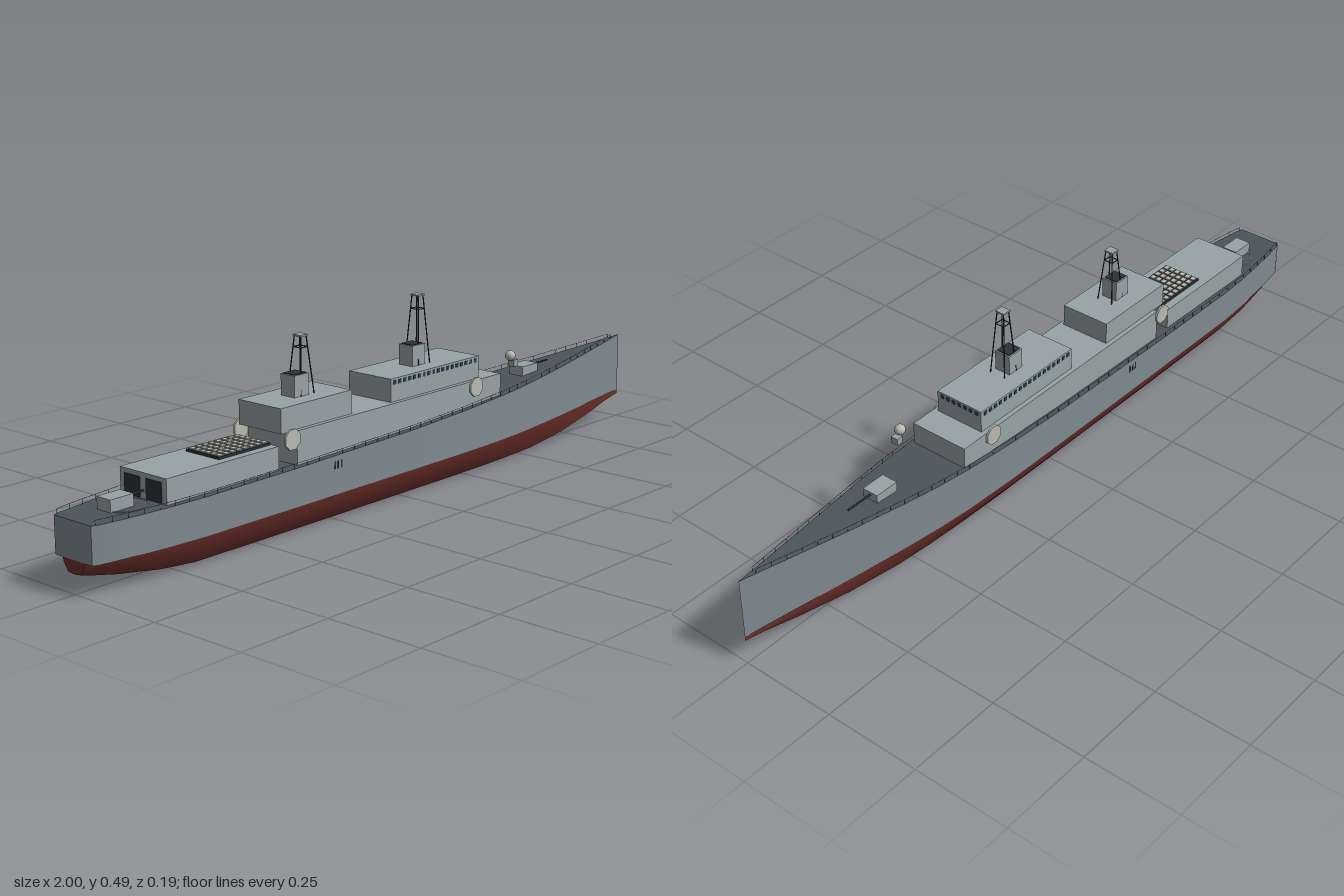
import * as THREE from 'three';
import { toCreasedNormals } from 'three/addons/utils/BufferGeometryUtils.js';

const mat = (color) => new THREE.MeshStandardMaterial({ color });
const GREY = mat(0x7f8b90), HOUSE = mat(0x98a4a6), DECK = mat(0x4b555a), RED = mat(0x6e302c);
const DARK = mat(0x2b3338), GLASS = mat(0x27435a), PALE = mat(0xb9bab2);

// Hull stations: x, half width, deck height, keel height, width factor below the waterline
const STATIONS = [
  [-1, 0.06, 0.165, 0.045, 0.6], [-0.985, 0.066, 0.165, 0.042, 0.75], [-0.92, 0.076, 0.165, 0.03, 0.97],
  [-0.8, 0.089, 0.166, 0.01, 1], [-0.7, 0.095, 0.167, 0.001, 1], [-0.4, 0.096, 0.17, 0, 1],
  [0, 0.096, 0.178, 0, 1], [0.2, 0.095, 0.187, 0, 1], [0.35, 0.09, 0.195, 0, 1],
  [0.45, 0.082, 0.2, 0, 1], [0.55, 0.07, 0.206, 0.001, 1], [0.7, 0.048, 0.215, 0.013, 1],
  [0.85, 0.024, 0.226, 0.036, 0.9], [0.95, 0.008, 0.234, 0.056, 0.4], [1, 0.0005, 0.238, 0.066, 0.2],
];
const WATER = 0.077;

function stationAt(x) {
  let i = 0;
  while (i < STATIONS.length - 2 && STATIONS[i + 1][0] < x) i++;
  const a = STATIONS[i], b = STATIONS[i + 1], t = (x - a[0]) / (b[0] - a[0]);
  return a.map((v, k) => v + (b[k] - v) * t);
}

// Skin stretched over rows of points
function loft(rows) {
  const n = rows[0].length, index = [];
  for (let i = 0; i < rows.length - 1; i++)
    for (let j = 0; j < n - 1; j++) {
      const a = i * n + j, b = a + n;
      index.push(a, a + 1, b, b, a + 1, b + 1);
    }
  const g = new THREE.BufferGeometry();
  g.setAttribute('position', new THREE.Float32BufferAttribute(rows.flat(2), 3));
  g.setIndex(index);
  return toCreasedNormals(g, 0.5);
}

function add(parent, name, geometry, material, x = 0, y = 0, z = 0) {
  const m = new THREE.Mesh(geometry, material);
  m.name = name;
  m.position.set(x, y, z);
  parent.add(m);
  return m;
}

// Box given by its limits in x and y and its range in z
function block(parent, name, material, x0, x1, y0, y1, z0, z1 = -z0) {
  const g = new THREE.BoxGeometry(x1 - x0, y1 - y0, Math.abs(z1 - z0));
  return add(parent, name, g, material, (x0 + x1) / 2, (y0 + y1) / 2, (z0 + z1) / 2);
}

function rod(parent, name, a, b, r, material, sides = 6) {
  const p = new THREE.Vector3(...a), d = new THREE.Vector3(...b).sub(p);
  const m = add(parent, name, new THREE.CylinderGeometry(r, r, d.length(), sides), material);
  m.position.copy(p).addScaledVector(d, 0.5);
  m.quaternion.setFromUnitVectors(new THREE.Vector3(0, 1, 0), d.normalize());
  return m;
}

function buildHull(root) {
  const hull = new THREE.Group();
  hull.name = 'hull';
  root.add(hull);
  const profile = [[1, 1], [0.91, 0.65], [0.56, 0.09], [0, 0]];
  const below = ([x, w, , k, f], s) =>
    profile.map(([u, v]) => [x, k + v * (WATER - k), s * u * w * f]);

  add(hull, 'portSide', loft(STATIONS.map(([x, w, d]) => [[x, d, w], [x, WATER, w]])), GREY);
  add(hull, 'starboardSide', loft(STATIONS.map(([x, w, d]) => [[x, WATER, -w], [x, d, -w]])), GREY);
  add(hull, 'bottom', loft(STATIONS.map((s) => [...below(s, 1), ...below(s, -1).reverse().slice(1)])), RED);
  add(hull, 'deck', loft(STATIONS.map(([x, w, d]) => [[x, d, -w], [x, d, w]])), DECK);
  add(hull, 'waterlinePlate', loft(STATIONS.map(([x, w]) => [[x, WATER, w], [x, WATER, -w]])), DARK);

  // Flat stern
  const [x, w, d] = STATIONS[0];
  add(hull, 'transom', loft([-w, w].map((z) => [[x, d, z], [x, WATER, z]])), GREY);
  add(hull, 'lowerTransom', loft([below(STATIONS[0], -1), below(STATIONS[0], 1)]), RED);

  // Vents on both sides
  for (const s of [-1, 1])
    for (let i = 0; i < 3; i++)
      block(hull, 'sideVent', DARK, -0.292 + i * 0.011, -0.288 + i * 0.011, 0.14, 0.158, s * 0.094, s * 0.0968);
}

function buildRails(root) {
  const rails = new THREE.Group();
  rails.name = 'railings';
  root.add(rails);
  for (const s of [-1, 1]) {
    const at = (x, h) => {
      const [, w, d] = stationAt(x);
      return [x, d + h, s * Math.max(w - 0.002, 0)];
    };
    for (let i = 0; i < 49; i++) {
      const x = -0.99 + i * 0.0405;
      rod(rails, 'railPost', at(x, 0), at(x, 0.011), 0.0006, DARK, 4);
      if (i < 48) rod(rails, 'railWire', at(x, 0.011), at(x + 0.0405, 0.011), 0.0005, DARK, 4);
    }
  }
}

// Mast of four leaning legs behind a funnel
function buildMast(root, x, top) {
  const mast = new THREE.Group();
  mast.name = 'mast';
  root.add(mast);
  block(mast, 'funnel', HOUSE, x - 0.044, x + 0.004, 0.308, 0.362, 0.022);
  block(mast, 'funnelCap', DARK, x - 0.04, x, 0.361, 0.364, 0.018);
  const leg = (sx, sz, t) =>
    [x + sx * (0.022 - 0.013 * t), 0.31 + (top - 0.31) * t, sz * (0.022 - 0.012 * t)];
  for (const sx of [-1, 1])
    for (const sz of [-1, 1]) rod(mast, 'mastLeg', leg(sx, sz, 0), leg(sx, sz, 1), 0.0016, DARK);
  for (const s of [-1, 1]) {
    rod(mast, 'mastBrace', leg(s, -1, 0.8), leg(s, 1, 0.8), 0.0013, DARK);
    rod(mast, 'mastBrace', leg(-1, s, 0.8), leg(1, s, 0.8), 0.0013, DARK);
  }
  block(mast, 'mastPlatform', HOUSE, x - 0.012, x + 0.012, top - 0.002, top + 0.002, 0.013);
}

function buildGun(root, x, y, height) {
  const gun = new THREE.Group();
  gun.name = 'gun';
  root.add(gun);
  block(gun, 'turret', HOUSE, x - 0.033, x + 0.033, y, y + height, 0.022);
  rod(gun, 'barrel', [x + 0.03, y + height * 0.72, 0], [x + 0.105, y + height * 0.72, 0], 0.0025, DARK, 8);
}

export function createModel() {
  const root = new THREE.Group();
  root.name = 'warship';
  buildHull(root);
  buildRails(root);

  // Deckhouses
  block(root, 'hangar', HOUSE, -0.8, -0.455, 0.16, 0.226, 0.075);
  block(root, 'mainDeckhouse', HOUSE, -0.4, 0.355, 0.165, 0.252, 0.08);
  block(root, 'aftUpperHouse', HOUSE, -0.44, -0.2, 0.25, 0.31, 0.068);
  block(root, 'bridge', HOUSE, -0.06, 0.28, 0.25, 0.31, 0.068);
  for (const s of [-1, 1]) block(root, 'hangarDoor', DARK, -0.802, -0.798, 0.168, 0.215, s * 0.01, s * 0.06);

  // Bridge windows
  for (let i = 0; i < 7; i++) {
    const z = (i - 3) * 0.0178;
    block(root, 'frontWindow', GLASS, 0.279, 0.2815, 0.295, 0.305, z - 0.0048, z + 0.0048);
  }
  for (const s of [-1, 1])
    for (let i = 0; i < 18; i++) {
      const x = -0.045 + i * 0.0182;
      block(root, 'sideWindow', GLASS, x - 0.0048, x + 0.0048, 0.295, 0.305, s * 0.067, s * 0.0695);
    }

  // Eight-sided sensor panels
  for (const x of [0.253, -0.418])
    for (const s of [-1, 1]) {
      const g = new THREE.CylinderGeometry(0.026, 0.026, 0.005, 8).rotateY(Math.PI / 8).rotateX(Math.PI / 2);
      add(root, 'sensorPanel', g, PALE, x, 0.236, s * 0.0825);
    }

  // Launch hatches on the hangar roof
  block(root, 'hatchFrame', DARK, -0.622, -0.46, 0.224, 0.232, 0.053);
  for (let i = 0; i < 8; i++)
    for (let j = 0; j < 6; j++) {
      const x = -0.611 + i * 0.02, z = (j - 2.5) * 0.0172;
      block(root, 'launchHatch', PALE, x - 0.0075, x + 0.0075, 0.231, 0.2345, z - 0.0065, z + 0.0065);
    }

  buildMast(root, -0.303, 0.45);
  buildMast(root, 0.118, 0.483);
  buildGun(root, 0.558, 0.203, 0.027);
  buildGun(root, -0.88, 0.164, 0.03);

  // Painted ring on the aft deck
  add(root, 'deckRing', new THREE.TorusGeometry(0.054, 0.001, 6, 40).rotateX(Math.PI / 2), PALE, -0.858, 0.166, 0);

  // Radar dome forward of the bridge
  block(root, 'domeMount', HOUSE, 0.428, 0.446, 0.254, 0.272, 0.047, 0.067);
  add(root, 'radarDome', new THREE.SphereGeometry(0.0135, 20, 14), PALE, 0.424, 0.284, 0.058);
  return root;
}
